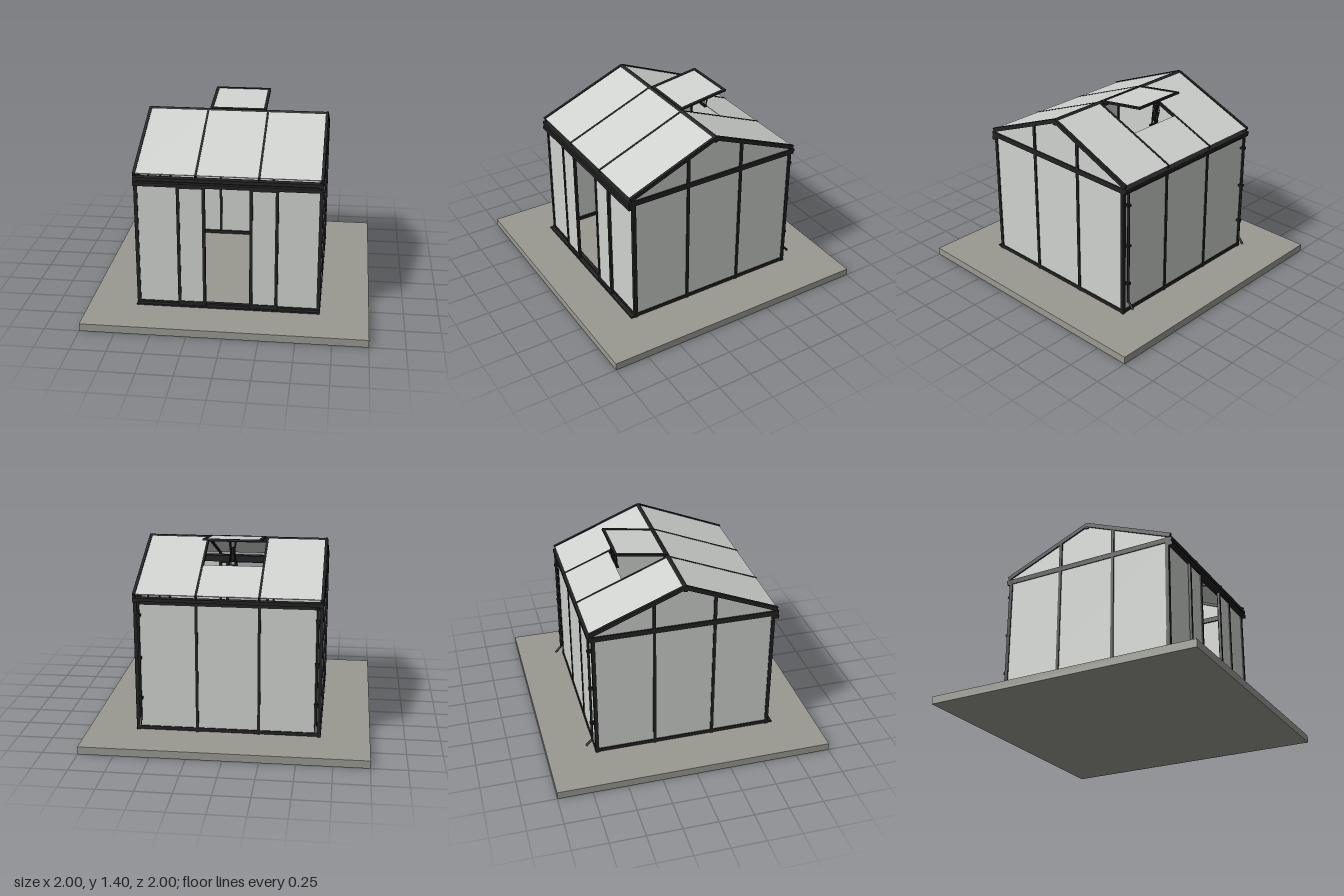
import * as THREE from 'three';

export function createModel() {
  const root = new THREE.Group();
  root.name = 'greenhouse';
  const mat = (name, color) => {
    const m = new THREE.MeshStandardMaterial({ color });
    m.name = name;
    return m;
  };
  const frame = mat('black frame', 0x222222);
  const glass = mat('pale glass', 0xcfd2cf);
  glass.side = THREE.DoubleSide;
  const concrete = mat('concrete', 0x9a9a92);

  const add = (name, geo, material, x = 0, y = 0, z = 0) => {
    const m = new THREE.Mesh(geo, material);
    m.name = name;
    m.position.set(x, y, z);
    root.add(m);
    return m;
  };
  // Box given by its minimum and maximum on each axis
  const box = (name, material, x0, x1, y0, y1, z0, z1) =>
    add(name, new THREE.BoxGeometry(x1 - x0, y1 - y0, z1 - z0), material,
      (x0 + x1) / 2, (y0 + y1) / 2, (z0 + z1) / 2);
  // Straight bar from a to b, w across and h thick
  const bar = (name, material, a, b, w, h) => {
    const p = new THREE.Vector3(...a), q = new THREE.Vector3(...b);
    const m = add(name, new THREE.BoxGeometry(w, h, p.distanceTo(q)), material);
    m.position.copy(p).add(q).multiplyScalar(0.5);
    m.lookAt(q);
    return m;
  };
  const rod = (name, a, b, r) => {
    const path = new THREE.LineCurve3(new THREE.Vector3(...a), new THREE.Vector3(...b));
    add(name, new THREE.TubeGeometry(path, 1, r, 8), frame);
  };

  const W = 0.655, floor = 0.055, eave = 1.0, rise = 0.41;
  const roofY = z => 1.326 - rise * Math.abs(z);

  box('baseSlab', concrete, -1, 1, 0, floor, -1, 1);

  // Walls: posts, sills, top beams and glass
  for (const s of [-1, 1]) {
    for (const t of [-1, 1]) {
      box('cornerPost', frame, s * 0.642 - 0.013, s * 0.642 + 0.013, floor, 1.04, t * 0.642 - 0.013, t * 0.642 + 0.013);
      box('sideMullion', frame, s * 0.645 - 0.01, s * 0.645 + 0.01, floor, roofY(0.216), t * 0.216 - 0.011, t * 0.216 + 0.011);
    }
    box('sideSill', frame, s * 0.642 - 0.013, s * 0.642 + 0.013, 0.06, 0.086, -W, W);
    box('sideTopBeam', frame, s * 0.642 - 0.013, s * 0.642 + 0.013, eave, 1.038, -0.675, 0.675);
    box('sideGlass', glass, s * 0.645 - 0.003, s * 0.645 + 0.003, 0.08, 1.01, -0.64, 0.64);

    // Gable triangle
    const gable = new THREE.Shape([
      new THREE.Vector2(-0.65, 1.03), new THREE.Vector2(0.65, 1.03),
      new THREE.Vector2(0.65, roofY(0.65)), new THREE.Vector2(0, 1.326),
      new THREE.Vector2(-0.65, roofY(0.65)),
    ]);
    add('gableGlass', new THREE.ShapeGeometry(gable), glass, s * 0.645).rotation.y = s * Math.PI / 2;

    // Front and back: sill, eave beam and gutter
    box('sill', frame, -W, W, 0.06, 0.086, s * 0.642 - 0.013, s * 0.642 + 0.013);
    box('eaveBeam', frame, -W, W, 0.985, 1.035, s * 0.642 - 0.013, s * 0.642 + 0.013);
    box('gutter', frame, -W, W, 1.013, 1.037, s * 0.667 - 0.014, s * 0.667 + 0.014);
    box('backMullion', frame, s * 0.218 - 0.01, s * 0.218 + 0.01, floor, 1.0, -0.655, -0.635);

    // Front fixed pane with its inner post
    box('fixedGlass', glass, Math.min(s * 0.22, s * 0.64), Math.max(s * 0.22, s * 0.64), 0.08, 0.99, 0.642, 0.648);
    box('doorPost', frame, s * 0.218 - 0.01, s * 0.218 + 0.01, floor, 0.99, 0.635, 0.655);

    // Sliding door standing open
    for (const x of [0.165, 0.343])
      box('doorStile', frame, s * x - 0.011, s * x + 0.011, 0.065, 0.985, 0.66, 0.678);
    const d0 = Math.min(s * 0.165, s * 0.343), d1 = Math.max(s * 0.165, s * 0.343);
    box('doorBottomRail', frame, d0, d1, 0.065, 0.104, 0.66, 0.678);
    box('doorTopRail', frame, d0, d1, 0.965, 0.985, 0.66, 0.678);
    box('doorGlass', glass, d0, d1, 0.1, 0.97, 0.666, 0.672);
  }
  box('backGlass', glass, -0.64, 0.64, 0.08, 0.99, -0.648, -0.642);
  box('doorTopTrack', frame, -W, W, 0.975, 1.0, 0.655, 0.684);
  box('doorBottomTrack', frame, -W, W, 0.06, 0.072, 0.655, 0.684);

  // Roof: ridge, rafters and panes, with an opening for the vent
  const ridge = add('ridge', new THREE.CylinderGeometry(0.024, 0.024, 2 * W, 6), frame, 0, 1.316, 0);
  ridge.rotation.z = Math.PI / 2;
  const pane = (x0, x1, z0, z1) =>
    bar('roofGlass', glass, [(x0 + x1) / 2, roofY(z0) + 0.006, z0], [(x0 + x1) / 2, roofY(z1) + 0.006, z1], x1 - x0, 0.006);
  for (const t of [-1, 1]) {
    for (const x of [-0.646, -0.218, 0.218, 0.646]) {
      const edge = Math.abs(x) > 0.5;
      bar('rafter', frame, [x, roofY(0), 0], [x, roofY(0.668), t * 0.668], edge ? 0.02 : 0.016, edge ? 0.03 : 0.022);
    }
    pane(-0.64, -0.218, 0, t * 0.665);
    pane(0.218, 0.64, 0, t * 0.665);
    pane(-0.218, 0.218, t < 0 ? -0.335 : 0, t * 0.665);
  }

  // Raised roof vent hinged at the ridge
  const ventY = z => 1.335 - z * 0.147;
  for (const x of [-0.196, 0.196])
    bar('ventSideRail', frame, [x, ventY(0), 0], [x, ventY(-0.38), -0.38], 0.022, 0.014);
  for (const z of [-0.012, -0.371])
    bar('ventCrossRail', frame, [0, ventY(z + 0.01), z + 0.01], [0, ventY(z - 0.01), z - 0.01], 0.41, 0.014);
  bar('ventGlass', glass, [0, ventY(-0.01), -0.01], [0, ventY(-0.37), -0.37], 0.39, 0.006);

  // Vent opener
  rod('openerCylinder', [0, 1.23, -0.325], [0, 1.34, -0.345], 0.011);
  for (const s of [-1, 1]) {
    rod('openerLowerArm', [s * 0.03, 1.195, -0.325], [s * 0.012, 1.30, -0.365], 0.005);
    rod('openerUpperArm', [s * 0.012, 1.30, -0.365], [s * 0.025, 1.38, -0.345], 0.005);
    rod('openerLink', [s * 0.015, 1.195, -0.32], [s * 0.015, 1.382, -0.338], 0.004);
  }
  box('openerBracket', frame, -0.035, 0.035, 1.19, 1.202, -0.335, -0.315);

  // Downpipes with clips and an angled spout
  for (const s of [-1, 1]) {
    const x = s * 0.618;
    rod('downpipe', [x, 1.02, -0.67], [x, 0.15, -0.67], 0.009);
    rod('downpipeSpout', [x, 0.157, -0.668], [x, 0.105, -0.716], 0.009);
    for (const y of [0.3, 0.6, 0.91])
      box('pipeClip', frame, x - 0.015, x + 0.015, y - 0.008, y + 0.008, -0.682, -0.65);
  }
  return root;
}
